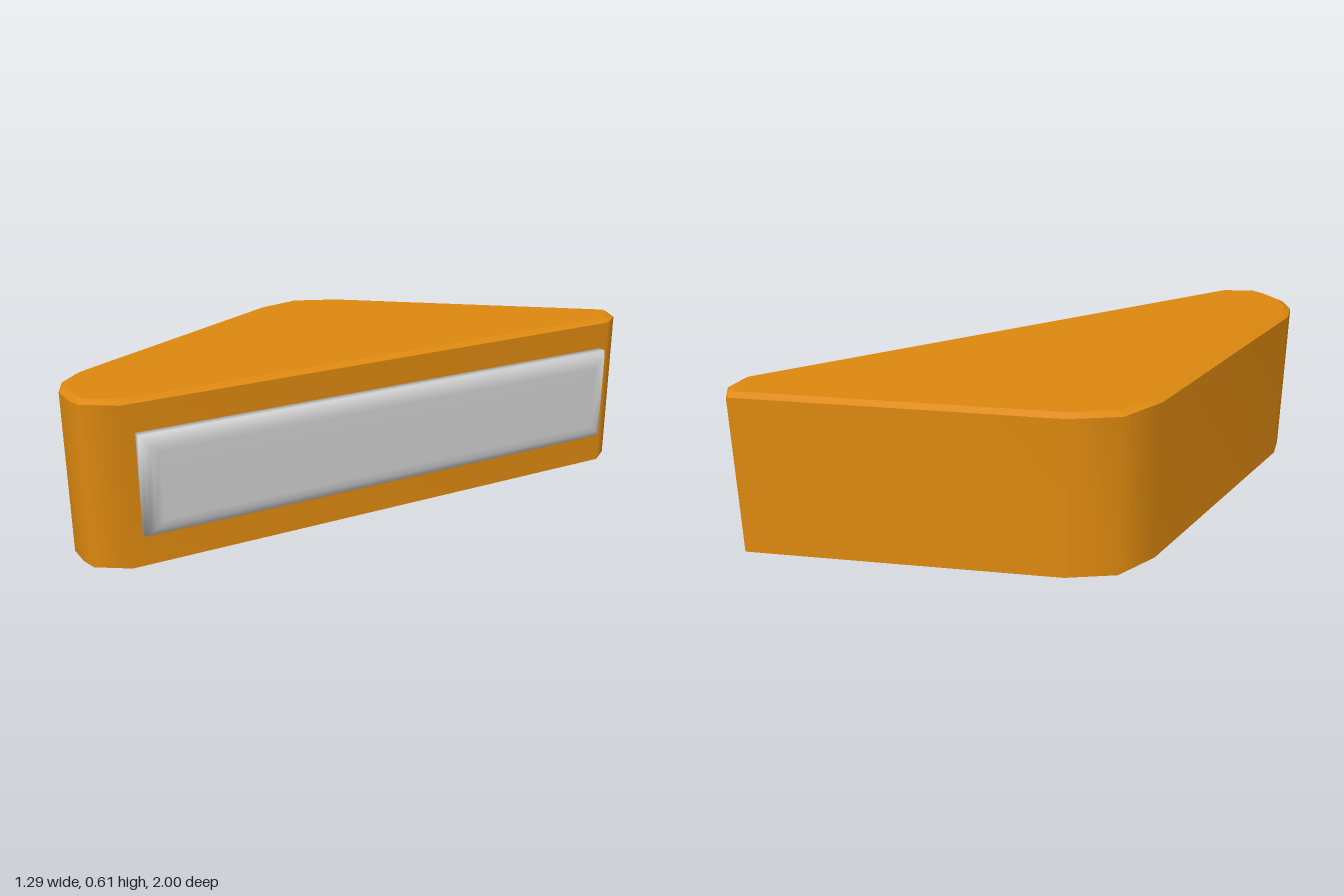
import * as THREE from 'three';

// Moves a convex outline inwards by a fixed distance, with mitred corners.
function inset(points, distance) {
  const count = points.length;
  const normals = points.map(([x, z], i) => {
    const [nx, nz] = points[(i + 1) % count];
    return new THREE.Vector2(z - nz, nx - x).normalize();
  });
  return points.map(([x, z], i) => {
    const a = normals[(i + count - 1) % count];
    const b = normals[i];
    const k = distance / (1 + a.dot(b));
    return [x + (a.x + b.x) * k, z + (a.y + b.y) * k];
  });
}

// Smooth skin through rings of { points, y }, with optional end caps.
function loft(rings, { sides = true, top = false, bottom = false }) {
  const positions = [];
  const index = [];
  const count = rings[0].points.length;
  for (const { points, y } of rings) for (const [x, z] of points) positions.push(x, y, z);
  if (sides) {
    for (let r = 0; r < rings.length - 1; r++) {
      for (let i = 0; i < count; i++) {
        const j = (i + 1) % count;
        const a = r * count + i, b = r * count + j;
        index.push(a, a + count, b + count, a, b + count, b);
      }
    }
  }
  const last = (rings.length - 1) * count;
  for (let i = 1; i < count - 1; i++) {
    if (bottom) index.push(0, i, i + 1);
    if (top) index.push(last, last + i + 1, last + i);
  }
  const geometry = new THREE.BufferGeometry();
  geometry.setAttribute('position', new THREE.Float32BufferAttribute(positions, 3));
  geometry.setIndex(index);
  geometry.computeVertexNormals();
  return geometry;
}

export function createModel() {
  const orange = new THREE.MeshStandardMaterial({ color: 0xdc880f });
  orange.name = 'orange';
  const lightGrey = new THREE.MeshStandardMaterial({ color: 0xcfcfcf });
  lightGrey.name = 'light grey';

  const model = new THREE.Group();
  model.name = 'wedgeLight';
  const add = (parent, name, geometry, material) => {
    const mesh = new THREE.Mesh(geometry, material);
    mesh.name = name;
    parent.add(mesh);
    return mesh;
  };

  // Housing: rounded triangular block with a small bevel around the top
  const outline = [
    [0.62, -0.85], [-0.285, 0.93], [-0.4, 1], [-0.46, 0.99], [-0.545, 0.955],
    [-0.61, 0.885], [-0.64, 0.79], [-0.645, -0.2], [-0.6, -0.37], [-0.46, -0.49],
    [0.545, -1], [0.605, -0.94],
  ];
  const foot = { points: outline, y: 0 };
  const shoulder = { points: outline, y: 0.592 };
  const rim = { points: inset(outline, 0.025), y: 0.605 };
  const housing = new THREE.Group();
  housing.name = 'housing';
  model.add(housing);
  add(housing, 'housingWall', loft([foot, shoulder], {}), orange);
  add(housing, 'topBevel', loft([shoulder, rim], {}), orange);
  add(housing, 'topFace', loft([rim], { sides: false, top: true }), orange);
  add(housing, 'bottomFace', loft([foot], { sides: false, bottom: true }), orange);

  // Lens: softly rounded panel on the long slanted side
  const start = new THREE.Vector3(0.62, 0, -0.85);
  const along = new THREE.Vector3(-0.285, 0, 0.93).sub(start).normalize();
  const up = new THREE.Vector3(0, 1, 0);
  const outward = new THREE.Vector3().crossVectors(up, along);
  const panel = [[1.953, 0.125], [1.953, 0.49], [0.034, 0.49], [0.034, 0.125]];
  const profile = [[0, -0.01], [0, 0.032], [0.01, 0.047], [0.033, 0.057], [0.06, 0.059]];
  const rings = profile.map(([d, y]) => ({ points: inset(panel, d), y }));
  const lens = add(model, 'sideLens', loft(rings, { top: true, bottom: true }), lightGrey);
  lens.quaternion.setFromRotationMatrix(new THREE.Matrix4().makeBasis(along, outward, up));
  lens.position.copy(start);

  return model;
}
